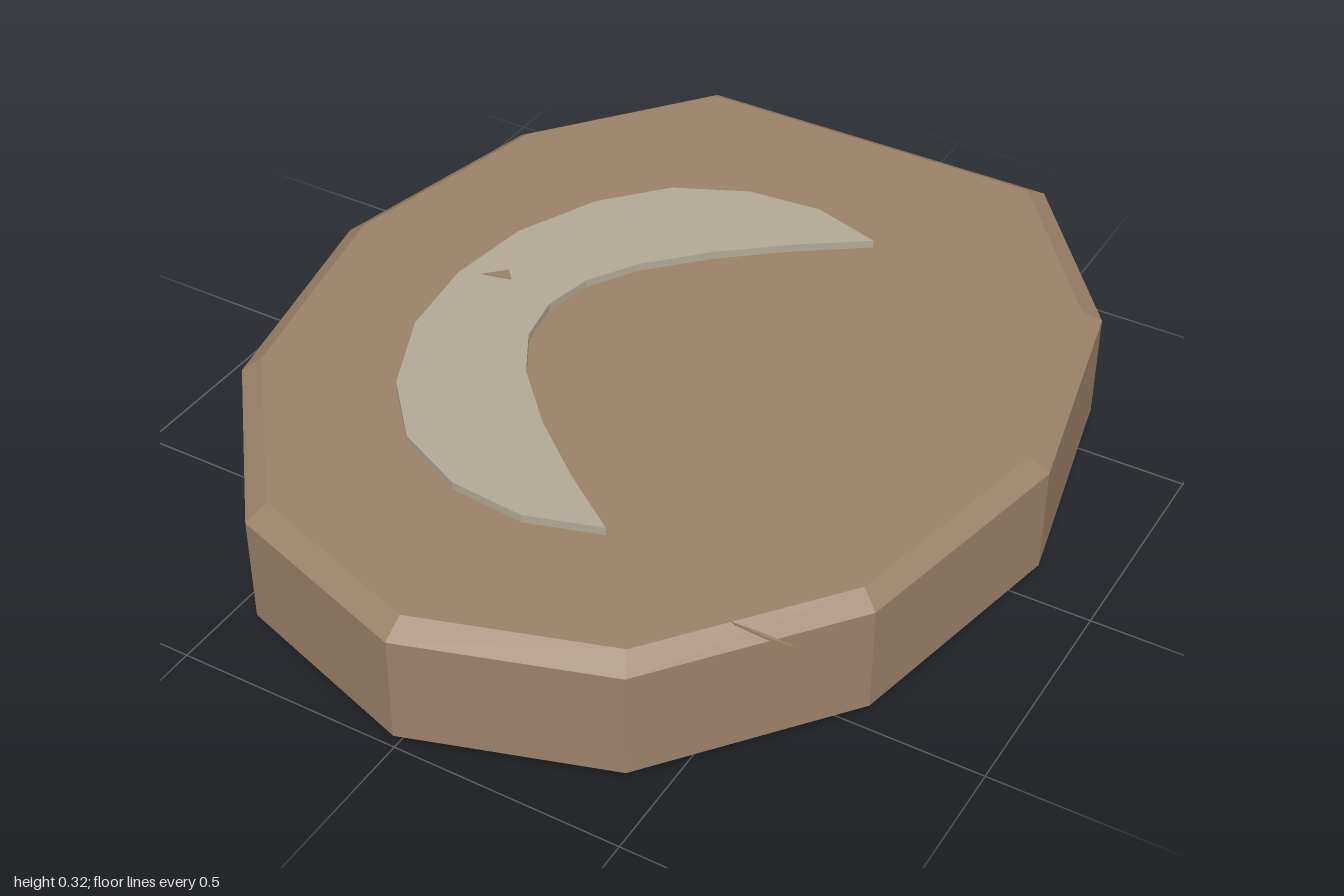
import * as THREE from 'three';

const mirrorRing = (half) => [...half, ...half.slice(1).reverse().map(([x, z]) => [-x, z])];

// Stacks scaled copies of an outline [x, z] at the given [height, scale] levels and caps both ends
function loft(outline, levels) {
  const n = outline.length, pos = [], index = [];
  for (const [y, s] of levels) for (const [x, z] of outline) pos.push(x * s, y, z * s);
  const bottom = pos.length / 3, top = bottom + 1, last = (levels.length - 1) * n;
  pos.push(0, levels[0][0], 0, 0, levels[levels.length - 1][0], 0);
  for (let i = 0; i < n; i++) {
    const j = (i + 1) % n;
    for (let k = 0; k < last; k += n) {
      index.push(k + i, k + j, k + n + j, k + i, k + n + j, k + n + i);
    }
    index.push(bottom, j, i, top, last + i, last + j);
  }
  const geo = new THREE.BufferGeometry();
  geo.setAttribute('position', new THREE.Float32BufferAttribute(pos, 3));
  geo.setIndex(index);
  const flat = geo.toNonIndexed();
  flat.computeVertexNormals();
  return flat;
}

// Extrudes an outline [x, z] upwards from height y
function plate(outline, y, depth) {
  const shape = new THREE.Shape(outline.map(([x, z]) => new THREE.Vector2(x, -z)));
  const geo = new THREE.ExtrudeGeometry(shape, { depth, bevelEnabled: false });
  return geo.rotateX(-Math.PI / 2).translate(0, y, 0);
}

export function createModel() {
  const group = new THREE.Group();
  const stone = new THREE.MeshStandardMaterial({ name: 'brown stone', color: 0x9c8269 });
  const inlay = new THREE.MeshStandardMaterial({ name: 'pale grey inlay', color: 0xb2a996 });
  stone.flatShading = inlay.flatShading = true;

  const add = (name, geo, mat) => {
    const mesh = new THREE.Mesh(geo, mat);
    mesh.name = name;
    group.add(mesh);
  };

  // Eleven-sided slab with bevelled rims
  const slab = mirrorRing([[0, 1], [0.43, 0.86], [0.74, 0.47], [0.853, -0.07], [0.74, -0.605], [0.43, -1]]);
  add('slab', loft(slab, [[0, 0.95], [0.03, 1], [0.27, 1], [0.3, 0.95]]), stone);

  // Raised crescent, mirrored front to back
  const outer = [[0.21, 0.565], [0.05, 0.615], [-0.12, 0.6], [-0.28, 0.525], [-0.4, 0.39], [-0.485, 0.2]];
  const inner = [[-0.255, 0.115], [-0.19, 0.225], [-0.07, 0.35], [0.07, 0.465]];
  const flip = (pts) => pts.map(([x, z]) => [x, -z]).reverse();
  const crescent = [...outer, [-0.51, 0], ...flip(outer), ...flip(inner), [-0.277, 0], ...inner];
  add('crescent', plate(crescent, 0.295, 0.023), inlay);

  // Small chip on the crescent and a thin splinter at the rim
  add('chip', plate([[-0.46, -0.02], [-0.395, -0.035], [-0.42, -0.062]], 0.315, 0.005), stone);
  add('splinter', plate([[0.53, 0.657], [0.61, 0.662], [0.69, 0.657], [0.61, 0.654]], 0.296, 0.005), stone);

  return group;
}
